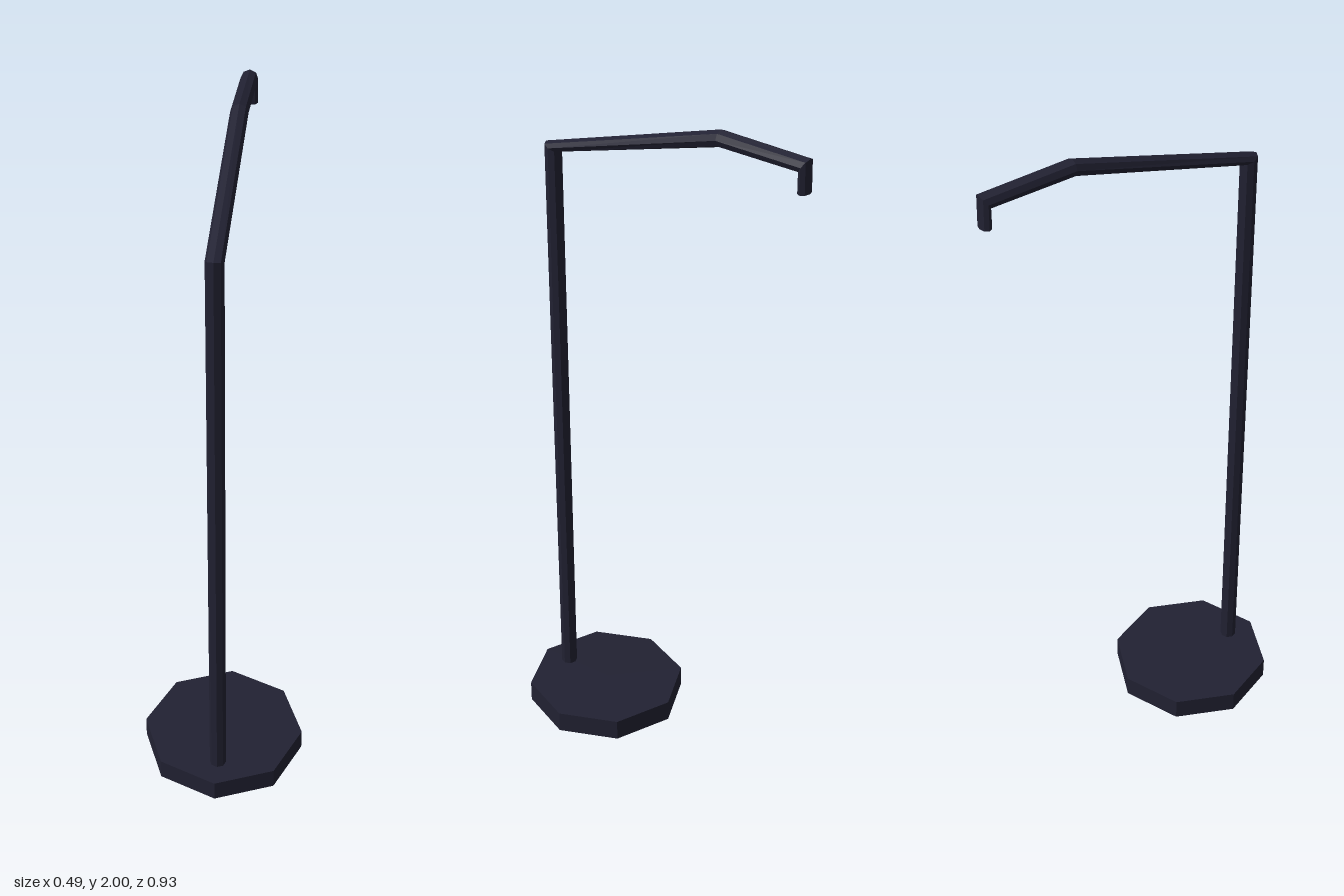
import * as THREE from 'three';

const SIDES = 8;
const HALF_WIDTH = 0.025;

// Octagonal tube swept through rings; each ring gives its outer and inner [z, y].
function sweptTube(rings) {
  const positions = [];
  const index = [];
  for (const [outer, inner] of rings) {
    const cz = (outer[0] + inner[0]) / 2, cy = (outer[1] + inner[1]) / 2;
    const ez = (outer[0] - inner[0]) / 2, ey = (outer[1] - inner[1]) / 2;
    for (let j = 0; j < SIDES; j++) {
      const t = (j / SIDES) * Math.PI * 2;
      positions.push(Math.sin(t) * HALF_WIDTH, cy + ey * Math.cos(t), cz + ez * Math.cos(t));
    }
  }
  const last = (rings.length - 1) * SIDES;
  for (let i = 0; i < last; i += SIDES) {
    for (let j = 0; j < SIDES; j++) {
      const k = (j + 1) % SIDES;
      index.push(i + j, i + k, i + SIDES + j, i + k, i + SIDES + k, i + SIDES + j);
    }
  }
  // End caps
  for (let j = 1; j < SIDES - 1; j++) {
    index.push(0, j + 1, j, last, last + j, last + j + 1);
  }
  const indexed = new THREE.BufferGeometry();
  indexed.setAttribute('position', new THREE.Float32BufferAttribute(positions, 3));
  indexed.setIndex(index);
  const geometry = indexed.toNonIndexed();
  geometry.computeVertexNormals();
  return geometry;
}

export function createModel() {
  const group = new THREE.Group();
  group.name = 'hangingStand';

  const darkMetal = new THREE.MeshStandardMaterial({ color: 0x212132 });
  darkMetal.name = 'dark metal';
  darkMetal.flatShading = true;

  // Octagonal foot
  const base = new THREE.Mesh(new THREE.CylinderGeometry(0.247, 0.247, 0.066, SIDES), darkMetal);
  base.name = 'base';
  base.position.set(0, 0.033, 0.22);
  group.add(base);

  // Upright, sloping arm and short downturned tip as one bent tube
  const pole = new THREE.Mesh(sweptTube([
    [[0.398, 0.03], [0.349, 0.03]],
    [[0.398, 1.851], [0.349, 1.828]],
    [[-0.19, 2.0], [-0.19, 1.952]],
    [[-0.464, 1.977], [-0.434, 1.936]],
    [[-0.466, 1.883], [-0.434, 1.883]],
  ]), darkMetal);
  pole.name = 'poleAndArm';
  group.add(pole);

  return group;
}
